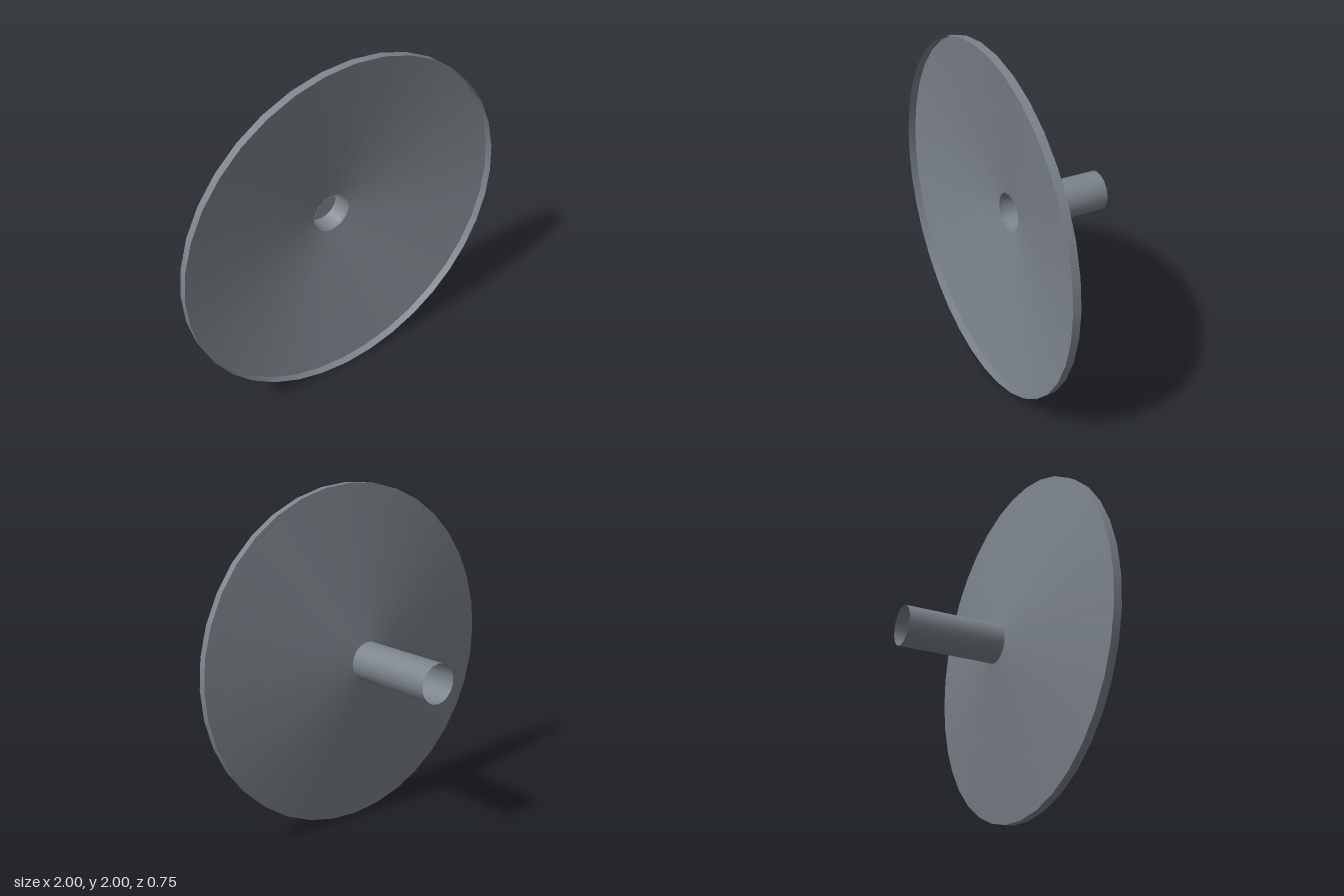
import * as THREE from 'three';

const CENTER_Y = 1;

export function createModel() {
  const group = new THREE.Group();
  group.name = 'funnelDish';
  const material = new THREE.MeshStandardMaterial({ color: 0x7c838b, side: THREE.DoubleSide });

  // Thin ring surface around the z axis, from (r0, z0) up to (r1, z1)
  function ring(name, r0, z0, r1, z1, segments = 36) {
    const geometry = new THREE.LatheGeometry(
      [new THREE.Vector2(r0, z0), new THREE.Vector2(r1, z1)], segments);
    geometry.rotateX(Math.PI / 2);
    const mesh = new THREE.Mesh(geometry, material);
    mesh.name = name;
    mesh.position.y = CENTER_Y;
    group.add(mesh);
  }

  // Shallow dish, open to the front, with a short straight rim
  ring('dishCone', 0.115, 0.195, 1, 0.33);
  ring('dishRim', 1, 0.33, 1, 0.375);

  // Coarser stem behind the dish, open at its back end, in a close-fitting collar
  ring('stemTube', 0.114, -0.375, 0.114, 0.195, 18);
  ring('stemCollar', 0.1138, 0.07, 0.115, 0.195);

  // Shallow recess at the middle of the dish, closed by a flat floor
  ring('recessWall', 0.102, 0.09, 0.115, 0.195);
  const floor = new THREE.Mesh(new THREE.CircleGeometry(0.102, 36), material);
  floor.name = 'recessFloor';
  floor.position.set(0, CENTER_Y, 0.09);
  group.add(floor);

  return group;
}
